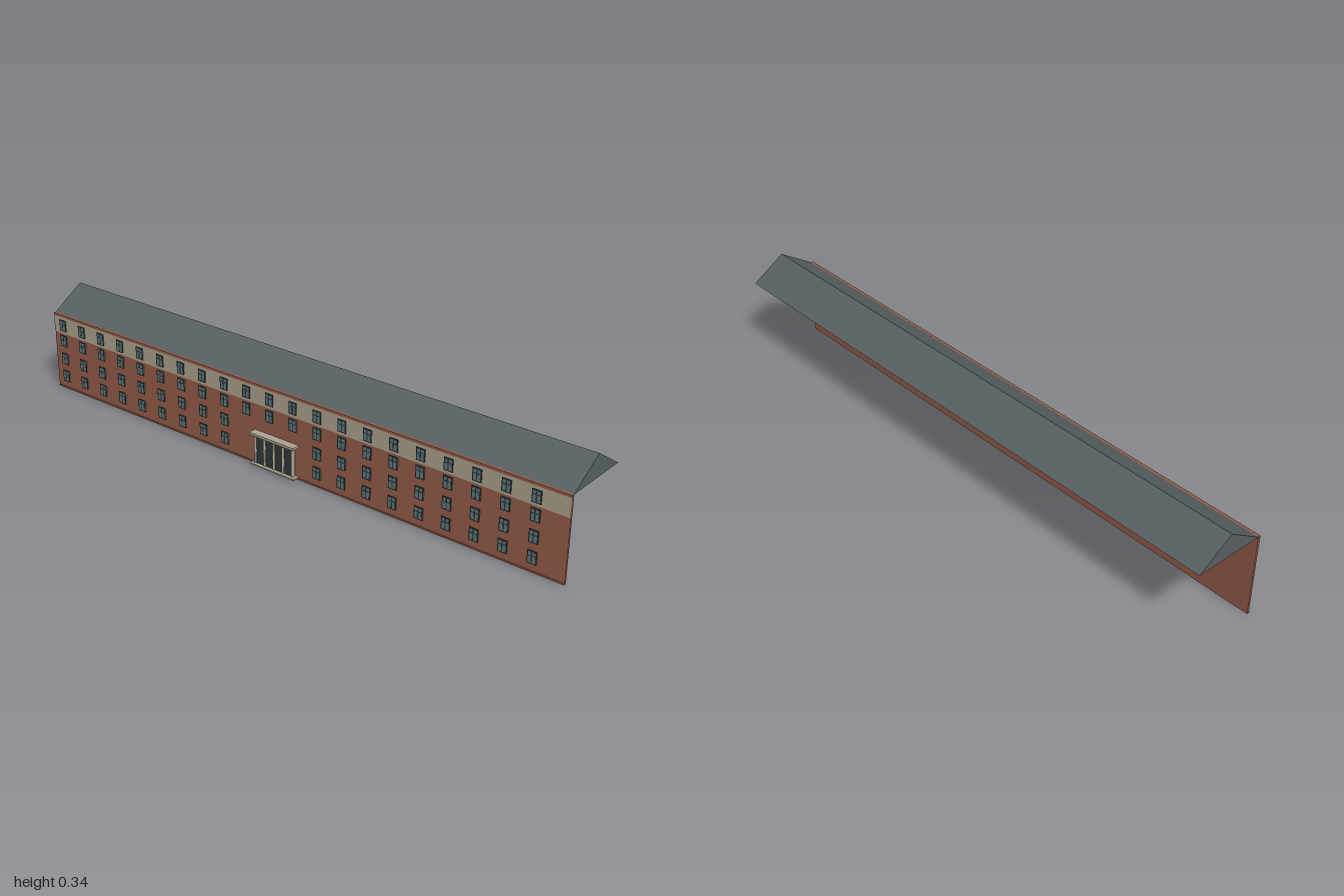
import * as THREE from 'three';
import { mergeGeometries } from 'three/addons/utils/BufferGeometryUtils.js';

const mat = (name, color) => {
  const m = new THREE.MeshStandardMaterial({ color });
  m.name = name;
  return m;
};

// Box given by its ranges along x, y and z
function span(x0, x1, y0, y1, z0, z1) {
  return new THREE.BoxGeometry(x1 - x0, y1 - y0, z1 - z0)
    .translate((x0 + x1) / 2, (y0 + y1) / 2, (z0 + z1) / 2);
}

export function createModel() {
  const brick = mat('brick', 0x935b48);
  const slate = mat('roof slate', 0x586062);
  const stone = mat('pale stone', 0xaba28e);
  const frame = mat('dark frame', 0x30383a);
  const glass = mat('window glass', 0x5f7a80);

  const model = new THREE.Group();
  model.name = 'longBuilding';
  const add = (parent, name, material, ...geos) => {
    const mesh = new THREE.Mesh(geos.length > 1 ? mergeGeometries(geos) : geos[0], material);
    mesh.name = name;
    parent.add(mesh);
  };

  // Long thin wall with a ledge at foot and eaves
  add(model, 'wall', brick, span(-0.107, -0.1, 0, 0.27, -1, 1));
  add(model, 'ledges', brick,
    span(-0.109, -0.107, 0, 0.005, -1, 1), span(-0.109, -0.107, 0.262, 0.27, -1, 1));
  add(model, 'topStoreyBand', stone, span(-0.1085, -0.107, 0.203, 0.262, -1, 1));

  // Closed gable roof
  const gable = new THREE.Shape([
    new THREE.Vector2(-0.1, 0.27), new THREE.Vector2(0.131, 0.27), new THREE.Vector2(0.016, 0.343),
  ]);
  add(model, 'roof', slate,
    new THREE.ExtrudeGeometry(gable, { depth: 2, bevelEnabled: false }).translate(0, 0, -1));

  // Windows: stone surround, dark frame, four panes
  const surrounds = [], frames = [], panes = [];
  [0.048, 0.112, 0.177, 0.233].forEach((y, row) => {
    for (let i = 0; i < 21; i++) {
      if (row < 2 && i >= 9 && i <= 11) continue; // entrance bay
      const z = -0.955 + i * 0.0927;
      surrounds.push(span(-0.1105, -0.107, y - 0.018, y + 0.018, z - 0.0135, z + 0.0135));
      frames.push(span(-0.1125, -0.1105, y - 0.02, y + 0.02, z - 0.015, z + 0.015));
      for (const a of [-1, 1]) {
        const c = z + a * 0.0068;
        panes.push(span(-0.1131, -0.1125, y - 0.017, y + 0.004, c - 0.0048, c + 0.0048));
        panes.push(span(-0.1131, -0.1125, y + 0.007, y + 0.017, c - 0.0048, c + 0.0048));
      }
    }
  });
  const windows = new THREE.Group();
  windows.name = 'windows';
  add(windows, 'windowSurrounds', stone, ...surrounds);
  add(windows, 'windowFrames', frame, ...frames);
  add(windows, 'windowPanes', glass, ...panes);
  model.add(windows);

  // Entrance porch: step, canopy, piers with half-columns, glazed screens
  const porch = new THREE.Group();
  porch.name = 'porch';
  porch.position.z = -0.003;
  add(porch, 'step', stone, span(-0.132, -0.107, 0.006, 0.01, -0.088, 0.088));
  add(porch, 'canopy', stone, span(-0.134, -0.107, 0.107, 0.115, -0.088, 0.088));
  add(porch, 'beam', stone, span(-0.124, -0.112, 0.1, 0.107, -0.078, 0.078));
  const piers = [], columns = [], screens = [];
  for (let i = 0; i < 5; i++) {
    const z = -0.074 + i * 0.037;
    piers.push(span(-0.122, -0.113, 0.01, 0.1, z - 0.004, z + 0.004));
    columns.push(new THREE.CylinderGeometry(0.0035, 0.0035, 0.088, 12).translate(-0.1225, 0.056, z));
    if (i < 4) screens.push(span(-0.1195, -0.1145, 0.01, 0.1, z + 0.004, z + 0.033));
  }
  add(porch, 'piers', stone, ...piers);
  add(porch, 'halfColumns', stone, ...columns);
  add(porch, 'screens', frame, ...screens);
  model.add(porch);

  return model;
}
